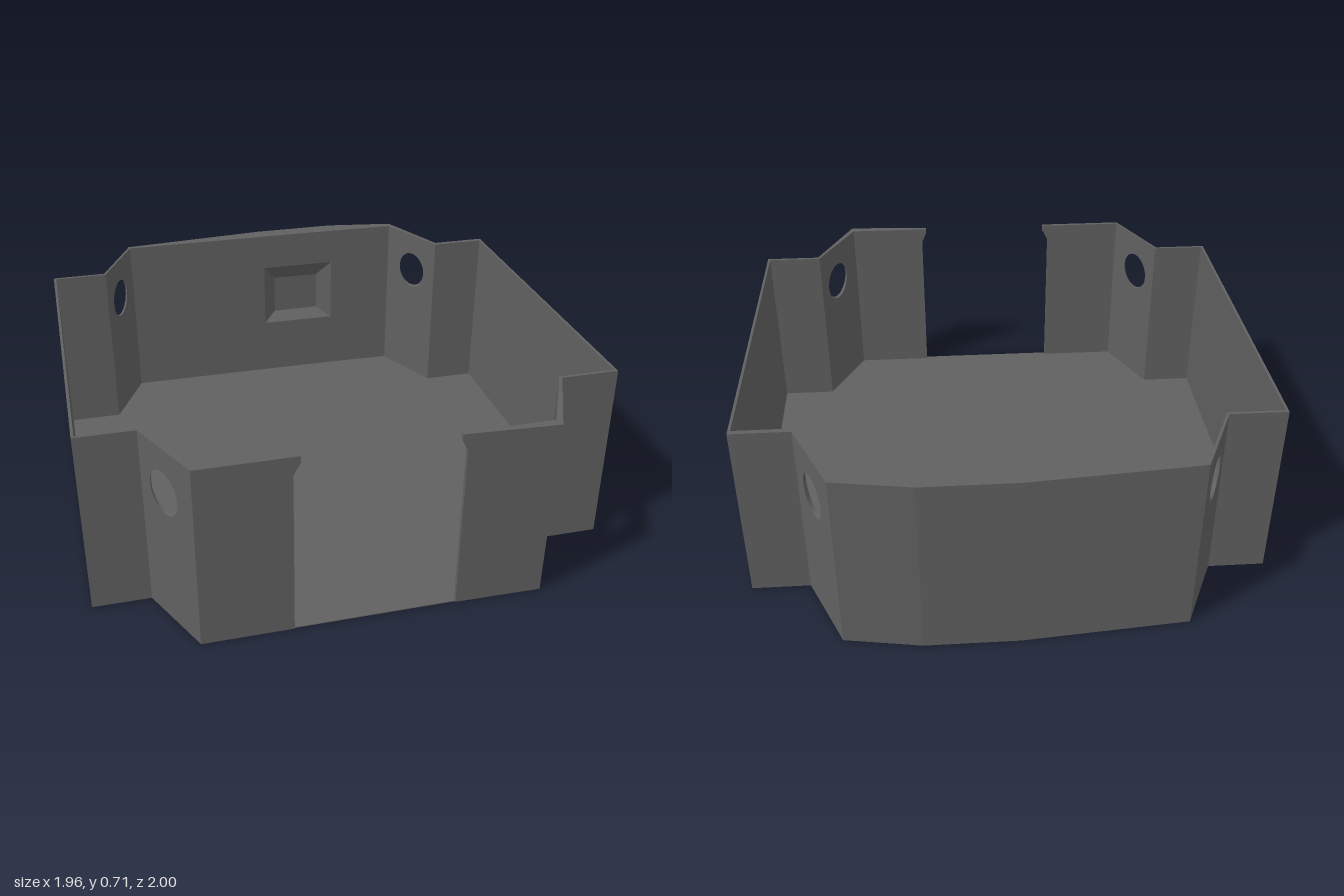
import * as THREE from 'three';

const H = 0.71;
const material = new THREE.MeshStandardMaterial({ color: 0x606060, flatShading: true, side: THREE.DoubleSide });

// Wall panel: a shape (length s, height y) mapped between an outer edge a-b and an inner edge ia-ib.
// Points are [x, z, outward lean at the top].
function panel(name, a, b, ia, ib, { outline, hole, warp } = {}) {
  const L = Math.hypot(b[0] - a[0], b[1] - a[1]);
  const pts = outline ? outline(L) : [[0, 0], [L, 0], [L, H], [0, H]];
  const shape = new THREE.Shape(pts.map(p => new THREE.Vector2(...p)));
  if (hole) shape.holes.push(hole(L));
  const geo = new THREE.ExtrudeGeometry(shape, { depth: 1, bevelEnabled: false, curveSegments: 24 });
  const pos = geo.attributes.position;
  const at = (p, q, u, y, k) => p[k] + (q[k] - p[k]) * u
    + (k === 1 ? ((p[2] || 0) * (1 - u) + (q[2] || 0) * u) * y / H : 0);
  for (let i = 0; i < pos.count; i++) {
    let s = pos.getX(i), y = pos.getY(i);
    const w = pos.getZ(i);
    if (warp && w > 0.5 && s > 0.001 && s < L - 0.001) [s, y] = warp(s, y);
    const u = s / L;
    const mix = k => at(ia, ib, u, y, k) * (1 - w) + at(a, b, u, y, k) * w;
    pos.setXYZ(i, mix(0), y, mix(1));
  }
  geo.computeVertexNormals();
  const mesh = new THREE.Mesh(geo, material);
  mesh.name = name;
  return mesh;
}

// Round hole at a fraction t along a panel
const roundHole = t => L => new THREE.Path().absarc(L * t, 0.535, 0.083, 0, Math.PI * 2, true);

export function createModel() {
  const group = new THREE.Group();
  group.name = 'openTray';

  // Outer and inner outlines, counter-clockwise from the front left
  const outer = [
    [-0.63, 0.98], [0.275, 0.98], [0.62, 0.985, 0.015], [0.76, 0.697], [0.98, 0.697],
    [0.98, -0.66], [0.76, -0.66], [0.625, -0.953], [0.34, -1], [-0.01, -1],
    [-0.63, -0.948], [-0.765, -0.66], [-0.98, -0.66], [-0.98, 0.695], [-0.765, 0.695]];
  const inner = [
    [-0.626, 0.965], [0.275, 0.965], [0.612, 0.965], [0.753, 0.685], [0.97, 0.685],
    [0.97, -0.64], [0.753, -0.64], [0.617, -0.922], [0.34, -0.928], [-0.01, -0.93],
    [-0.626, -0.93], [-0.76, -0.648], [-0.97, -0.648], [-0.97, 0.685], [-0.76, 0.685]];

  // Thin floor, set just above the bottom rim and reaching the front of the opening
  const floorShape = new THREE.Shape(inner.map(([x, z]) => new THREE.Vector2(x, z > 0.9 ? -0.979 : -z)));
  const floorGeo = new THREE.ExtrudeGeometry(floorShape, { depth: 0.003, bevelEnabled: false });
  floorGeo.rotateX(-Math.PI / 2).translate(0, 0.002, 0);
  const floor = new THREE.Mesh(floorGeo, material);
  floor.name = 'floor';
  group.add(floor);

  // Front wall halves, each with a small lip at the top of the opening
  const lipLeft = L => [[0.02, 0], [L, 0], [L, H], [0, H], [0, 0.69], [0.02, 0.645]];
  const lipRight = L => [[0, 0], [L - 0.025, 0], [L - 0.025, 0.64], [L, 0.685], [L, H], [0, H]];
  group.add(
    panel('frontWallRight', outer[0], [-0.275, 0.98], inner[0], [-0.275, 0.965], { outline: lipRight }),
    panel('frontWallLeft', outer[1], outer[2], inner[1], inner[2], { outline: lipLeft }));

  // Side, corner and curved back walls
  const holes = { 2: 0.56, 6: 0.47, 10: 0.53, 14: 0.45 };
  for (let i = 2; i < outer.length; i++) {
    if (i === 8) continue;
    const j = (i + 1) % outer.length;
    const name = i in holes ? 'cornerWall' : i >= 7 && i <= 9 ? 'backWall' : 'sideWall';
    group.add(panel(name, outer[i], outer[j], inner[i], inner[j],
      i in holes ? { hole: roundHole(holes[i]) } : {}));
  }

  // Middle of the back wall: tapered pocket closed by an outer skin
  const mid = [[0.34, -0.985], [-0.01, -0.985]];
  const pocket = () => new THREE.Path([[0.01, 0.26], [0.01, 0.55], [0.34, 0.55], [0.34, 0.26]]
    .map(p => new THREE.Vector2(...p)));
  const taper = (s, y) => [s < 0.1 ? 0.07 : 0.28, y < 0.4 ? 0.295 : 0.47];
  group.add(
    panel('backWallPocket', mid[0], mid[1], inner[8], inner[9], { hole: pocket, warp: taper }),
    panel('backWallSkin', outer[8], outer[9], mid[0], mid[1]));

  return group;
}
